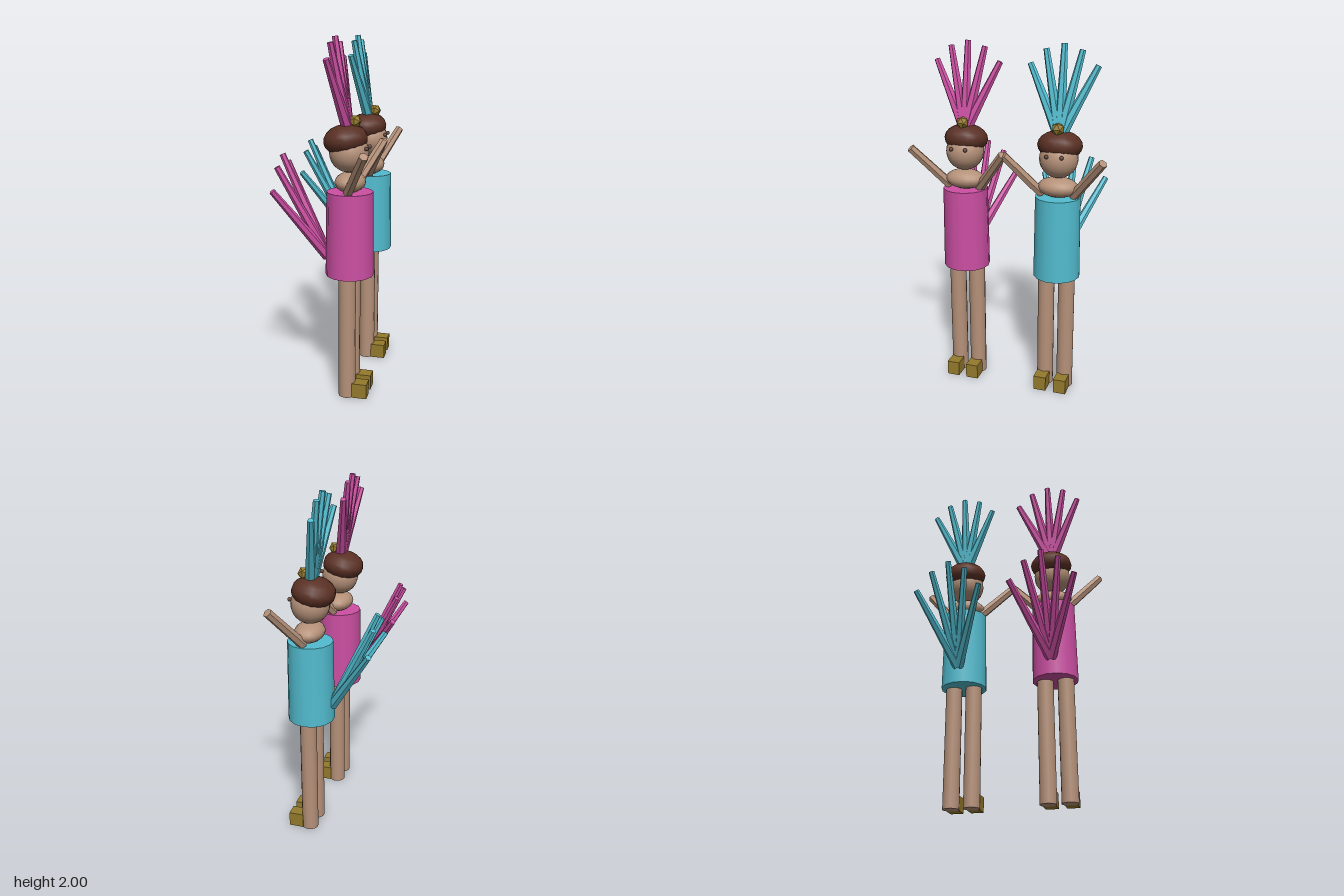
import * as THREE from 'three';

const mat = (name, color, flatShading = false) => {
  const m = new THREE.MeshStandardMaterial({ color, flatShading });
  m.name = name;
  return m;
};

export function createModel() {
  const skin = mat('skin', 0xb59179);
  const hair = mat('hair brown', 0x5a3024);
  const gold = mat('gold', 0x957a2c, true);
  const eye = mat('eye brown', 0x66493c);
  const pink = mat('pink', 0xcc4fa3);
  const teal = mat('teal', 0x52bccf);

  const add = (parent, name, geometry, material, x, y, z) => {
    const mesh = new THREE.Mesh(geometry, material);
    mesh.name = name;
    mesh.position.set(x, y, z);
    parent.add(mesh);
    return mesh;
  };

  // Tapered six-sided rod with hard edges between two points
  const rod = (parent, name, material, from, to, r0, r1) => {
    const a = new THREE.Vector3(...from), b = new THREE.Vector3(...to);
    const dir = b.clone().sub(a);
    const geometry = new THREE.CylinderGeometry(r1, r0, dir.length(), 6).toNonIndexed();
    geometry.computeVertexNormals();
    const mid = a.add(b).multiplyScalar(0.5);
    const mesh = add(parent, name, geometry, material, mid.x, mid.y, mid.z);
    mesh.quaternion.setFromUnitVectors(new THREE.Vector3(0, 1, 0), dir.normalize());
  };

  const ball = (rx, ry, rz, w = 16, h = 12) => new THREE.SphereGeometry(1, w, h).scale(rx, ry, rz);

  // One dancer, facing +x
  const dancer = (name, costume, z) => {
    const g = new THREE.Group();
    g.name = name;
    g.position.z = z;

    // Dress, shoulders and head
    add(g, 'dress', new THREE.CylinderGeometry(0.128, 0.134, 0.47, 14), costume, 0.118, 0.94, 0);
    add(g, 'shoulders', ball(0.084, 0.056, 0.115), skin, 0.12, 1.228, 0);
    add(g, 'head', ball(0.108, 0.108, 0.108, 20, 14), skin, 0.113, 1.388, 0);
    add(g, 'hair', ball(0.122, 0.083, 0.125, 14, 10), hair, 0.093, 1.457, 0).rotation.z = 0.15;
    add(g, 'crownJewel', new THREE.IcosahedronGeometry(0.036), gold, 0.145, 1.556, 0);

    // Paired limbs and eyes
    for (const s of [-1, 1]) {
      add(g, 'eye', ball(0.012, 0.012, 0.012, 8, 6), eye, 0.216, 1.417, s * 0.042);
      add(g, 'leg', new THREE.CylinderGeometry(0.048, 0.048, 0.72, 14), skin, 0.118, 0.36, s * 0.06);
      add(g, 'shoe', new THREE.BoxGeometry(0.085, 0.085, 0.073), gold, 0.195, 0.0425, s * 0.06);
      rod(g, 'arm', skin, [0.127, 1.185, s * 0.09], [0.25, 1.415, s * 0.273], 0.029, 0.025);
    }

    // Feather fans on the head and at the back
    const headTips = [1.995, 1.965, 1.885];
    const tailTips = [1.365, 1.31, 1.195];
    for (let i = -2; i <= 2; i++) {
      const k = Math.abs(i), spread = Math.sign(i) * [0, 0.1, 0.188][k];
      rod(g, 'headFeather', costume, [0.108, 1.5, 0], [0.036, headTips[k], spread], 0.033, 0.017);
      rod(g, 'tailFeather', costume, [-0.008, 0.8, 0], [-0.262, tailTips[k], spread], 0.031, 0.017);
    }
    return g;
  };

  const model = new THREE.Group();
  model.name = 'dancers';
  model.add(dancer('pinkDancer', pink, 0.275), dancer('tealDancer', teal, -0.275));
  return model;
}
